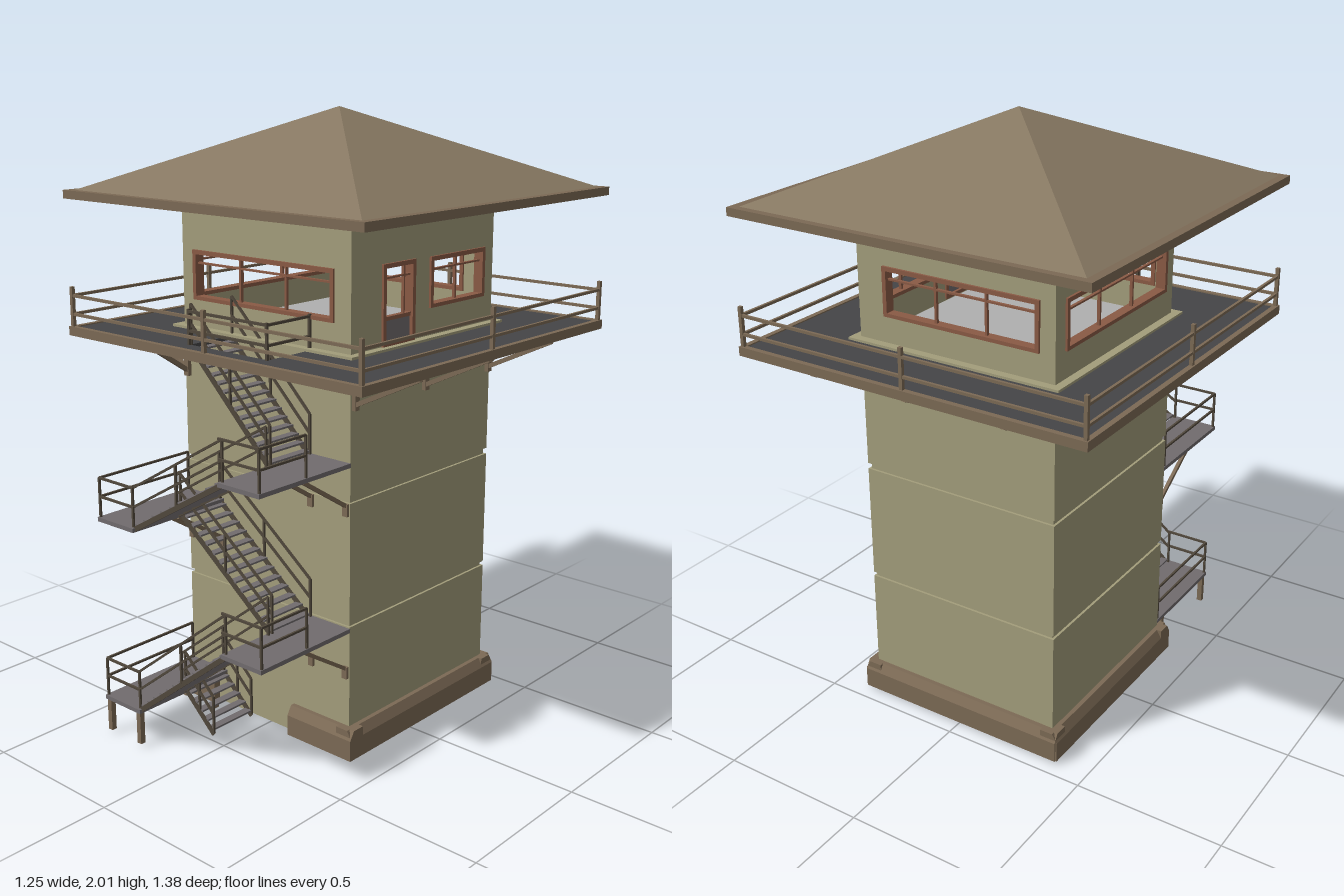
import * as THREE from 'three';

const mat = (name, color, side = THREE.FrontSide) => {
  const m = new THREE.MeshStandardMaterial({ color, side });
  m.name = name;
  return m;
};

export function createModel() {
  const wall = mat('olive wall', 0xa39d7b);
  const roofMat = mat('roof brown', 0x877862);
  const trim = mat('trim brown', 0x7c6a55);
  const frameMat = mat('window frame red brown', 0x8a5a45);
  const steel = mat('dark steel', 0x51483c);
  const grating = mat('deck grating', 0x454547);
  const stairGrey = mat('stair grey', 0x716c6e);
  const floorMat = mat('floor light grey', 0xb0b0b0);

  const model = new THREE.Group();
  model.name = 'watchtower';
  const ZC = -0.065; // tower axis
  const tower = new THREE.Group();
  tower.name = 'tower';
  tower.position.z = ZC;
  model.add(tower);

  const add = (parent, name, geo, m) => {
    const mesh = new THREE.Mesh(geo, m);
    mesh.name = name;
    parent.add(mesh);
    return mesh;
  };
  // Box given by its two extreme corners
  const box = (parent, name, m, x0, x1, y0, y1, z0, z1) => {
    const b = add(parent, name, new THREE.BoxGeometry(x1 - x0, y1 - y0, z1 - z0), m);
    b.position.set((x0 + x1) / 2, (y0 + y1) / 2, (z0 + z1) / 2);
    return b;
  };
  // Square bar between two points
  const bar = (parent, name, m, a, b, w = 0.008, h = w) => {
    const p = new THREE.Vector3(...a), q = new THREE.Vector3(...b);
    const s = add(parent, name, new THREE.BoxGeometry(w, h, p.distanceTo(q)), m);
    s.position.copy(p).add(q).multiplyScalar(0.5);
    s.quaternion.setFromRotationMatrix(new THREE.Matrix4().lookAt(q, p, new THREE.Vector3(0, 1, 0)));
    return s;
  };
  const poly = (pts, Type = THREE.Shape) => new Type(pts.map(p => new THREE.Vector2(...p)));
  const rect = (x0, x1, y0, y1, Type) => poly([[x0, y0], [x1, y0], [x1, y1], [x0, y1]], Type);
  const extrude = (shape, depth) => new THREE.ExtrudeGeometry(shape, { depth, bevelEnabled: false });
  // Horizontal square ring around the tower axis
  const ring = (name, m, outer, inner, y0, y1) => {
    const s = rect(-outer, outer, -outer, outer);
    s.holes.push(rect(-inner, inner, -inner, inner, THREE.Path));
    const r = add(tower, name, extrude(s, y1 - y0), m);
    r.rotation.x = -Math.PI / 2;
    r.position.y = y0;
  };

  // Hollow shaft with recessed joints
  const H = 0.357;
  [[0, 0.438], [0.452, 0.843], [0.863, 1.3]].forEach(([a, b]) => ring('shaftWall', wall, H, H - 0.03, a, b));
  [[0.438, 0.452], [0.843, 0.863]].forEach(([a, b]) => ring('shaftJoint', wall, H - 0.008, H - 0.03, a, b));

  // Plinth with chamfered top, open at the front where the stair starts
  const plinthRun = (x0, x1, angle) => {
    const g = new THREE.Group();
    g.name = 'plinth';
    g.rotation.y = angle;
    const profile = poly([[H - 0.03, 0], [0.39, 0], [0.39, 0.07], [0.372, 0.1], [H - 0.03, 0.1]]);
    const m = add(g, 'plinthRun', extrude(profile, x1 - x0), trim);
    m.rotation.y = -Math.PI / 2;
    m.position.x = x1;
    tower.add(g);
  };
  for (const k of [1, 2, 3]) plinthRun(-0.385, 0.385, k * Math.PI / 2);
  plinthRun(-0.39, -0.23, 0);
  plinthRun(0.12, 0.39, 0);

  // Cabin walls: each has holes [u0, u1, y0, y1], a frame and mullions
  const cabinSide = (name, angle, holes) => {
    const g = new THREE.Group();
    g.name = name;
    g.rotation.y = angle;
    const s = rect(-H, H, 1.3, 1.7);
    for (const [u0, u1, y0, y1, panes] of holes) {
      s.holes.push(rect(u0, u1, y0, y1, THREE.Path));
      const f = rect(u0 - 0.008, u1 + 0.008, y0 - 0.006, y1 + 0.008);
      f.holes.push(rect(u0 + 0.006, u1 - 0.006, y0 + 0.006, y1 - 0.006, THREE.Path));
      add(g, 'openingFrame', extrude(f, 0.034), frameMat).position.z = H - 0.026;
      for (let i = 1; i < panes; i++) {
        const u = u0 + (u1 - u0) * i / panes;
        box(g, 'mullion', frameMat, u - 0.004, u + 0.004, y0, y1, H - 0.014, H - 0.004);
      }
      box(g, 'transom', frameMat, u0, u1, 1.509, 1.515, H - 0.014, H - 0.004);
    }
    add(g, 'cabinWall', extrude(s, 0.02), wall).position.z = H - 0.02;
    tower.add(g);
    return g;
  };
  cabinSide('cabinFront', 0, [[-0.297, 0.285, 1.4, 1.547, 3]]);
  cabinSide('cabinBack', Math.PI, [[-0.25, 0.297, 1.4, 1.547, 3]]);
  cabinSide('cabinRight', -Math.PI / 2, [[-0.297, 0.297, 1.4, 1.547, 3]]);
  const doorSide = cabinSide('cabinLeft', Math.PI / 2,
    [[-0.208, -0.068, 1.312, 1.55, 1], [0.025, 0.297, 1.4, 1.547, 2]]);
  box(doorSide, 'doorPanel', stairGrey, -0.205, -0.072, 1.315, 1.385, H - 0.016, H - 0.004);
  box(doorSide, 'doorRail', frameMat, -0.205, -0.072, 1.383, 1.395, H - 0.018, H);
  box(doorSide, 'doorStile', frameMat, -0.105, -0.099, 1.39, 1.55, H - 0.014, H - 0.004);
  box(tower, 'cabinFloor', floorMat, -0.33, 0.33, 1.285, 1.304, -0.33, 0.33);
  ring('cabinSill', wall, 0.385, H - 0.01, 1.296, 1.306);

  // Roof
  ring('roofCornice', trim, 0.374, 0.34, 1.695, 1.715);
  box(tower, 'roofEaves', trim, -0.625, 0.625, 1.715, 1.742, -0.62, 0.62);
  const cone = new THREE.ConeGeometry(0.6 * Math.SQRT2, 0.26, 4, 1, true).toNonIndexed();
  cone.rotateY(Math.PI / 4);
  cone.computeVertexNormals();
  add(tower, 'roof', cone, roofMat).position.y = 1.87;

  // Deck plate with an opening for the shaft and the stairwell
  const deckShape = rect(-0.61, 0.61, -0.61, 0.61);
  deckShape.holes.push(poly([[-H, H], [H, H], [H, -H], [0.2, -H], [0.2, -0.545],
    [-0.13, -0.545], [-0.13, -H], [-H, -H]], THREE.Path));
  const deck = add(tower, 'deckGrating', extrude(deckShape, 0.015), grating);
  deck.rotation.x = -Math.PI / 2;
  deck.position.y = 1.283;
  ring('deckEdge', trim, 0.623, 0.605, 1.272, 1.302);

  // Deck railing
  const R = 0.612;
  for (let k = 0; k < 4; k++) {
    const g = new THREE.Group();
    g.name = 'deckRailing';
    g.rotation.y = k * Math.PI / 2;
    for (const y of [1.342, 1.403]) bar(g, 'deckRail', trim, [-R, y, R], [R, y, R], 0.009);
    for (const x of [-R, 0]) box(g, 'deckPost', trim, x - 0.006, x + 0.006, 1.28, 1.432, R - 0.006, R + 0.006);
    tower.add(g);
  }
  // Guard around the stairwell
  for (const y of [1.342, 1.403]) {
    bar(model, 'stairwellRail', steel, [-0.13, y, 0.485], [0.2, y, 0.485]);
    bar(model, 'stairwellRail', steel, [0.2, y, 0.3], [0.2, y, 0.485]);
  }
  for (const [x, z] of [[-0.13, 0.485], [0.2, 0.485], [0.2, 0.3]])
    bar(model, 'stairwellPost', steel, [x, 1.28, z], [x, 1.41, z]);

  // Brackets under the deck on the sides and the back
  const bracket = (parent, u, reach) => {
    bar(parent, 'deckJoist', trim, [u, 1.268, H], [u, 1.268, reach], 0.016);
    bar(parent, 'deckBrace', trim, [u, 1.148, H], [u, 1.268, reach], 0.014);
    box(parent, 'braceFoot', trim, u - 0.01, u + 0.01, 1.135, 1.275, H, H + 0.014);
  };
  for (let k = 0; k < 4; k++) {
    const g = new THREE.Group();
    g.name = 'deckBrackets';
    g.rotation.y = k * Math.PI / 2;
    if (k === 0) bracket(g, -0.342, 0.54);
    else for (const u of [-0.342, 0, 0.342]) bracket(g, u, 0.605);
    tower.add(g);
  }

  // Stair flights
  const IN = [0.3, 0.476], OUT = [0.493, 0.675];
  const flight = (x0, y0, x1, y1, [z0, z1]) => {
    const g = new THREE.Group();
    g.name = 'stairFlight';
    const n = Math.max(3, Math.round((y1 - y0) / 0.024));
    for (let i = 0; i < n; i++) {
      const t = (i + 0.5) / n, x = x0 + (x1 - x0) * t, y = y0 + (y1 - y0) * t;
      box(g, 'tread', stairGrey, x - 0.014, x + 0.014, y - 0.003, y + 0.003, z0, z1);
    }
    for (const z of [z0, z1]) {
      bar(g, 'stringer', steel, [x0, y0 - 0.006, z], [x1, y1 - 0.006, z], 0.006, 0.016);
      for (const h of [0.068, 0.13]) bar(g, 'handrail', steel, [x0, y0 + h, z], [x1, y1 + h, z], 0.007);
      for (const t of [0, 0.5, 1]) {
        const x = x0 + (x1 - x0) * t, y = y0 + (y1 - y0) * t;
        bar(g, 'handrailPost', steel, [x, y, z], [x, y + 0.13, z], 0.007);
      }
    }
    model.add(g);
  };
  flight(-0.07, 0, -0.2, 0.12, IN);
  flight(-0.2, 0.12, 0.2, 0.43, OUT);
  flight(0.2, 0.43, -0.2, 0.737, IN);
  flight(-0.2, 0.737, 0.2, 0.97, OUT);
  flight(0.2, 0.97, -0.13, 1.295, IN);

  // Landings with railings and wall braces
  const landing = (side, y, braced) => {
    const g = new THREE.Group();
    g.name = 'landing';
    const xi = side * 0.19, xo = side * 0.358, xr = side * 0.352;
    box(g, 'landingPlate', stairGrey, Math.min(xi, xo), Math.max(xi, xo), y - 0.014, y, 0.29, 0.688);
    const zBack = side > 0 ? 0.485 : 0.3;
    for (const h of [0.068, 0.13]) {
      bar(g, 'landingRail', steel, [xi, y + h, 0.68], [xr, y + h, 0.68], 0.007);
      bar(g, 'landingRail', steel, [xr, y + h, zBack], [xr, y + h, 0.68], 0.007);
    }
    for (const z of [zBack, 0.68]) bar(g, 'landingPost', steel, [xr, y, z], [xr, y + 0.13, z], 0.007);
    for (const x of [0.2, 0.343]) {
      if (braced) {
        bar(g, 'landingBrace', trim, [side * x, y - 0.14, 0.292], [side * x, y - 0.015, 0.49], 0.012);
        box(g, 'braceFoot', trim, side * x - 0.01, side * x + 0.01, y - 0.17, y - 0.13, 0.288, 0.302);
      } else {
        for (const z of [0.345, 0.677]) box(g, 'landingLeg', trim, side * x - 0.009, side * x + 0.009, 0, y - 0.01, z - 0.009, z + 0.009);
      }
    }
    model.add(g);
  };
  landing(-1, 0.122, false);
  landing(1, 0.434, true);
  landing(-1, 0.74, true);
  landing(1, 0.972, true);

  return model;
}
